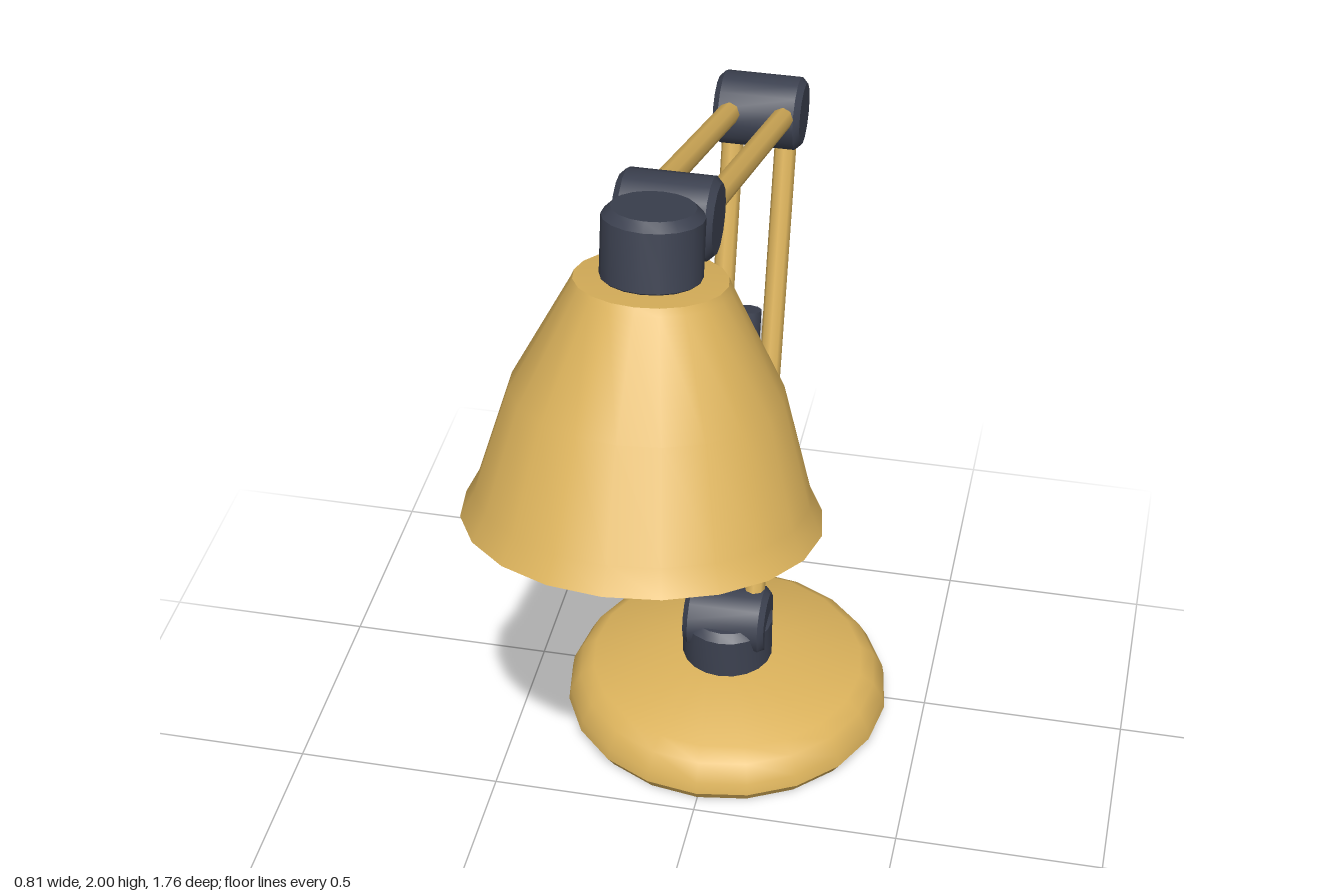
import * as THREE from 'three';
import { toCreasedNormals } from 'three/addons/utils/BufferGeometryUtils.js';

const gold = new THREE.MeshStandardMaterial({ name: 'goldPaint', color: 0xdcb35c });
const dark = new THREE.MeshStandardMaterial({ name: 'darkMetal', color: 0x3c4150 });
const cream = new THREE.MeshStandardMaterial({ name: 'bulbGlass', color: 0xf3e8c8 });

function add(parent, name, geometry, material) {
  const mesh = new THREE.Mesh(geometry, material);
  mesh.name = name;
  parent.add(mesh);
  return mesh;
}

// Turned part from [radius, height] pairs, listed bottom to top on the outside
function turned(points, sides, crease = 0.56) {
  const profile = points.map(([r, y]) => new THREE.Vector2(r, y));
  return toCreasedNormals(new THREE.LatheGeometry(profile, sides), crease);
}

// Cylinder with bevelled ends, centred on its own middle
function bevelled(r, length, bevel, sides) {
  const h = length / 2;
  return turned([[0, -h], [r - bevel, -h], [r, -h + bevel], [r, h - bevel], [r - bevel, h], [0, h]], sides);
}

// Round rod between two points
function rod(parent, name, a, b, radius, sides, material) {
  const dir = b.clone().sub(a);
  const mesh = add(parent, name, new THREE.CylinderGeometry(radius, radius, dir.length(), sides), material);
  mesh.position.copy(a).add(b).multiplyScalar(0.5);
  mesh.quaternion.setFromUnitVectors(new THREE.Vector3(0, 1, 0), dir.normalize());
}

export function createModel() {
  const lamp = new THREE.Group();
  lamp.name = 'deskLamp';

  // Weighted base and its collar
  const base = add(lamp, 'base', turned([
    [0, 0], [0.385, 0], [0.405, 0.03], [0.4, 0.06], [0.375, 0.105], [0.34, 0.13], [0.11, 0.162], [0, 0.162],
  ], 20), gold);
  base.position.z = -0.43;
  const collar = add(lamp, 'collar', bevelled(0.113, 0.15, 0.018, 20), dark);
  collar.position.set(0, 0.21, -0.43);

  // Pivots, lying along x
  const foot = new THREE.Vector3(0, 0.265, -0.43);
  const elbow = new THREE.Vector3(0, 1.517, -0.793);
  const neck = new THREE.Vector3(0, 1.88, 0.252);
  [['footJoint', foot], ['elbowJoint', elbow], ['neckJoint', neck]].forEach(([name, p]) => {
    const joint = add(lamp, name, bevelled(0.086, 0.205, 0.014, 14), dark);
    joint.rotation.z = Math.PI / 2;
    joint.position.copy(p);
  });

  // Paired arm rods
  for (const side of [-1, 1]) {
    const offset = new THREE.Vector3(side * 0.063, 0, 0);
    const label = side > 0 ? 'left' : 'right';
    const [a, b, c] = [foot, elbow, neck].map((p) => p.clone().add(offset));
    rod(lamp, label + 'LowerRod', a, b, 0.026, 8, gold);
    rod(lamp, label + 'UpperRod', b, c, 0.026, 8, gold);
  }

  // Spring between the lower rods
  rod(lamp, 'spring', foot.clone().lerp(elbow, 0.122), foot.clone().lerp(elbow, 0.622), 0.033, 10, dark);

  // Tilted head, with its origin at the centre of the shade's rim
  const head = new THREE.Group();
  head.name = 'head';
  head.position.set(0, 1.33, 0.522);
  head.rotation.x = -0.205;
  lamp.add(head);
  add(head, 'shade', turned([
    [0, 0.5], [0.14, 0.5], [0.258, 0.275], [0.322, 0.055], [0.345, 0],
    [0.37, 0], [0.342, 0.055], [0.277, 0.28], [0.162, 0.5], [0.155, 0.516], [0, 0.527],
  ], 20), gold);
  const cap = add(head, 'cap', bevelled(0.103, 0.16, 0.018, 18), dark);
  cap.position.y = 0.585;
  const bulb = add(head, 'bulb', new THREE.SphereGeometry(0.16, 20, 14), cream);
  bulb.position.y = 0.19;

  return lamp;
}
